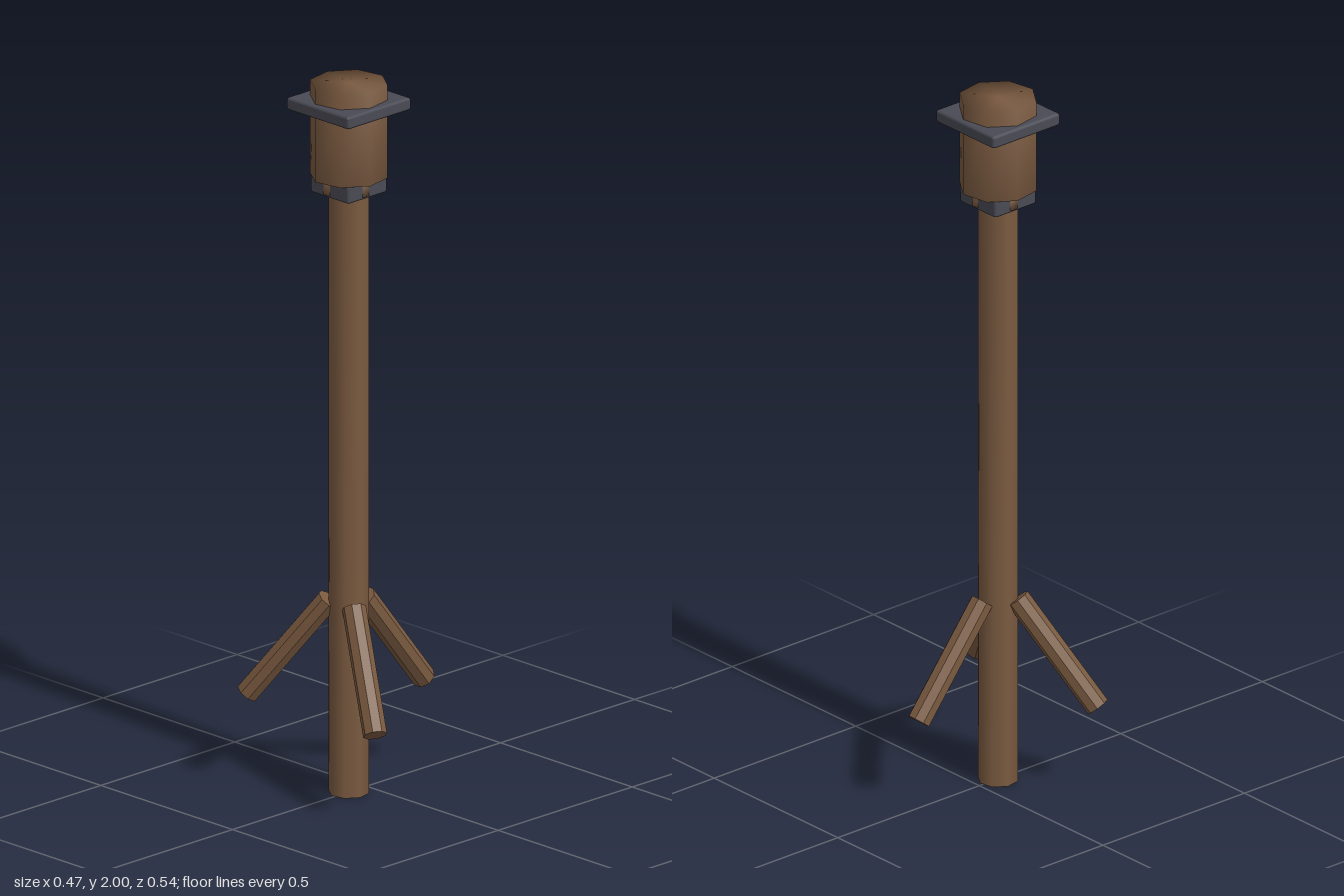
import * as THREE from 'three';
import { mergeVertices } from 'three/addons/utils/BufferGeometryUtils.js';
import { RoundedBoxGeometry } from 'three/addons/geometries/RoundedBoxGeometry.js';

const AXIS_X = -0.066; // the pole stands off centre because of the three legs

export function createModel() {
  const group = new THREE.Group();
  const wood = new THREE.MeshStandardMaterial({ color: 0x7a5a40 });
  wood.name = 'brown wood';
  const iron = new THREE.MeshStandardMaterial({ color: 0x4a4a55 });
  iron.name = 'dark iron';

  const body = new THREE.Group();
  body.name = 'mallet';
  body.position.x = AXIS_X;
  group.add(body);

  const add = (parent, name, geometry, material) => {
    const mesh = new THREE.Mesh(geometry, material);
    mesh.name = name;
    parent.add(mesh);
    return mesh;
  };

  // Eight-sided post with softly shared normals
  const post = (name, radius, bottom, top) => {
    let g = new THREE.CylinderGeometry(radius, radius, top - bottom, 8, 1, false, THREE.MathUtils.degToRad(33));
    g.deleteAttribute('normal');
    g.deleteAttribute('uv');
    g = mergeVertices(g);
    g.computeVertexNormals();
    add(body, name, g, wood).position.y = (bottom + top) / 2;
  };

  // Square iron plate with softened edges
  const plate = (name, width, bottom, top) => {
    const g = new RoundedBoxGeometry(width, top - bottom, width, 1, 0.008);
    add(body, name, g, iron).position.y = (bottom + top) / 2;
  };

  post('pole', 0.055, 0, 1.75);
  post('head', 0.106, 1.738, 2);
  post('headNeck', 0.079, 1.698, 1.745);
  plate('lowerCollar', 0.147, 1.69, 1.742);
  plate('upperCollar', 0.237, 1.922, 1.958);

  // Three splayed faceted legs around the pole
  const legShape = new THREE.CylinderGeometry(0.0325, 0.0325, 0.362, 8, 1, false, Math.PI / 8).toNonIndexed();
  legShape.computeVertexNormals();
  const outward = new THREE.Vector3(0.62, -0.785, 0).normalize();
  for (let i = 0; i < 3; i++) {
    const pivot = new THREE.Group();
    pivot.name = `leg${i + 1}`;
    pivot.rotation.y = (i * Math.PI * 2) / 3;
    const leg = add(pivot, 'legPeg', legShape, wood);
    leg.position.set(0.168, 0.396, 0);
    leg.quaternion.setFromUnitVectors(new THREE.Vector3(0, 1, 0), outward.clone().negate());
    body.add(pivot);
  }

  return group;
}
